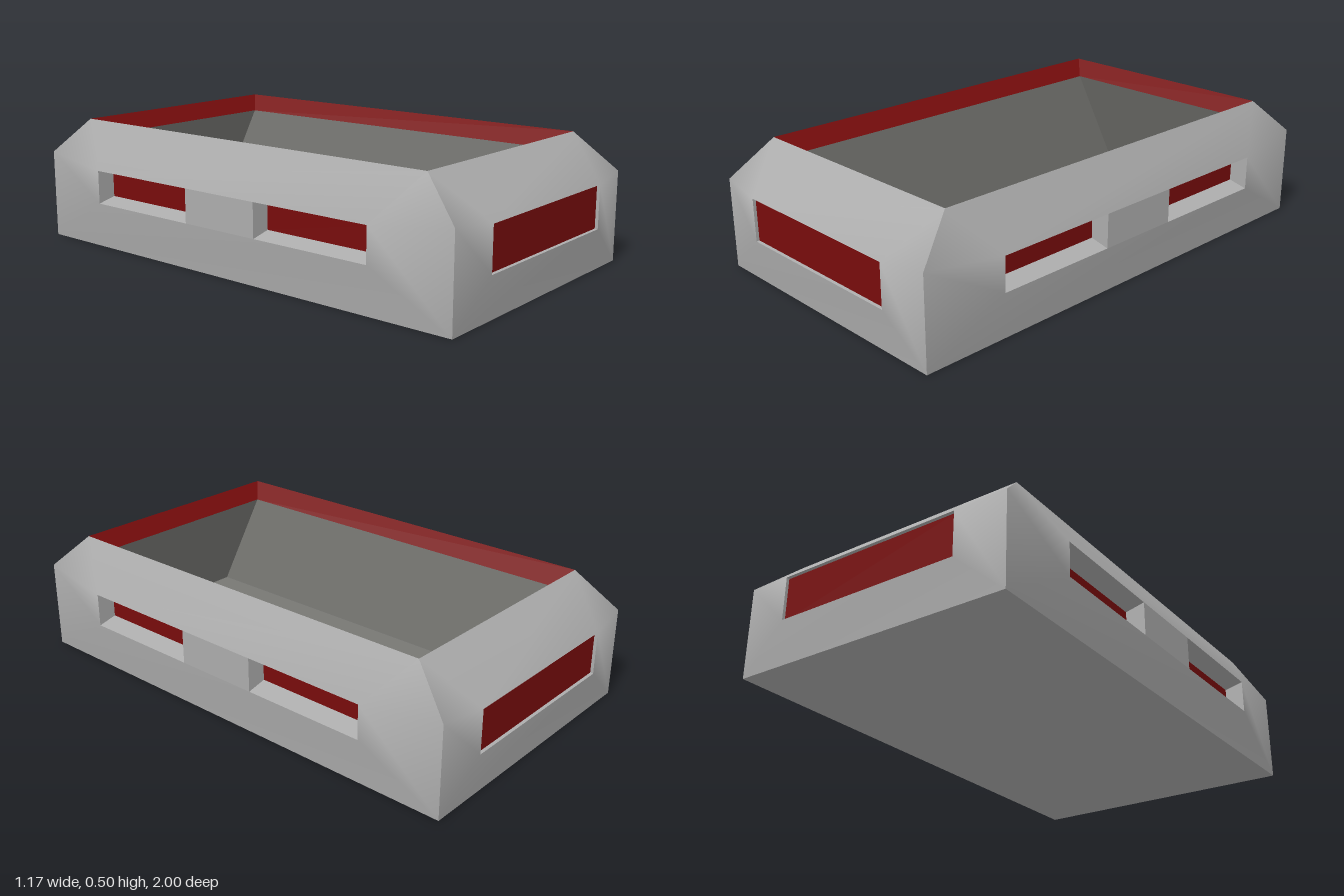
import * as THREE from 'three';

const material = (name, color) => {
  const m = new THREE.MeshStandardMaterial({ color });
  m.name = name;
  return m;
};

// Indexed surface with smooth normals
function surface(points, index) {
  const g = new THREE.BufferGeometry();
  g.setAttribute('position', new THREE.Float32BufferAttribute(points.flat(), 3));
  g.setIndex(index);
  g.computeVertexNormals();
  return g;
}

const quad = (ring) => surface(ring, [0, 1, 2, 0, 2, 3]);

// Four flat walls between two rings, facing the inside of the opening
function band(a, b) {
  const points = [], index = [];
  for (let i = 0; i < 4; i++) {
    const j = (i + 1) % 4, k = points.length;
    points.push(a[i], a[j], b[j], b[i]);
    index.push(k, k + 1, k + 2, k, k + 2, k + 3);
  }
  return surface(points, index);
}

// Upright rectangle facing +z, and level rectangle facing up
const upright = (x0, x1, y0, y1, z) => [[x0, y0, z], [x1, y0, z], [x1, y1, z], [x0, y1, z]];
const level = (x, z, y) => [[-x, y, z], [x, y, z], [x, y, -z], [-x, y, -z]];

// Bulging outer panel around a rectangular opening
function panel(base, top, hole) {
  const { w, y0, y1, z } = hole;
  return surface([
    [-base.w, 0, base.z], [base.w, 0, base.z], [base.w, 0.352, base.z],
    [top.w, 0.495, top.z], [-top.w, 0.495, top.z], [-base.w, 0.352, base.z],
    ...upright(-w, w, y0, y1, z),
  ], [
    0, 1, 7, 0, 7, 6, 1, 2, 8, 1, 8, 7, 2, 3, 8,
    3, 4, 9, 3, 9, 8, 4, 5, 9, 5, 0, 6, 5, 6, 9,
  ]);
}

export function createModel() {
  const model = new THREE.Group();
  model.name = 'openTray';
  const shell = material('shell grey', 0xacacac);
  const lining = material('lining grey', 0x777773);
  const red = material('dark red', 0x780c0c);

  const add = (parent, name, geometry, mat) => {
    const mesh = new THREE.Mesh(geometry, mat);
    mesh.name = name;
    parent.add(mesh);
  };

  // Recess with grey walls and a red back
  const recess = (parent, name, x0, x1, y0, y1, z, depth, taper) => {
    const inner = upright(x0, x1, y0 + taper, y1 - taper, z - depth);
    add(parent, name + 'Walls', band(upright(x0, x1, y0, y1, z), inner), shell);
    add(parent, name + 'Back', quad(inner), red);
  };

  // Front and back ends, each with one wide shallow recess
  ['front', 'back'].forEach((name, i) => {
    const end = new THREE.Group();
    end.name = name + 'End';
    end.rotation.y = i * Math.PI;
    add(end, name + 'Panel', panel({ w: 0.56, z: 0.98 }, { w: 0.485, z: 0.825 },
      { w: 0.37, y0: 0.165, y1: 0.332, z: 1 }), shell);
    recess(end, name + 'Recess', -0.37, 0.37, 0.165, 0.332, 1, 0.012, 0.001);
    model.add(end);
  });

  // Left and right sides, each with two deep recesses and a post between
  ['left', 'right'].forEach((name, i) => {
    const side = new THREE.Group();
    side.name = name + 'Side';
    side.rotation.y = Math.PI / 2 + i * Math.PI;
    add(side, name + 'Panel', panel({ w: 0.98, z: 0.56 }, { w: 0.825, z: 0.485 },
      { w: 0.665, y0: 0.183, y1: 0.315, z: 0.585 }), shell);
    add(side, name + 'Post', quad(upright(-0.17, 0.17, 0.183, 0.315, 0.585)), shell);
    recess(side, name + 'FrontRecess', -0.665, -0.17, 0.183, 0.315, 0.585, 0.075, 0.018);
    recess(side, name + 'RearRecess', 0.17, 0.665, 0.183, 0.315, 0.585, 0.075, 0.018);
    model.add(side);
  });

  // Red rim, inner walls, floor and underside
  const lip = level(0.43, 0.775, 0.43);
  const floor = level(0.385, 0.95, 0.01);
  add(model, 'rim', band(level(0.485, 0.825, 0.495), lip), red);
  add(model, 'innerWalls', band(lip, floor), lining);
  add(model, 'floor', quad(floor), lining);
  add(model, 'underside', quad(level(0.56, 0.98, 0).reverse()), shell);

  return model;
}
